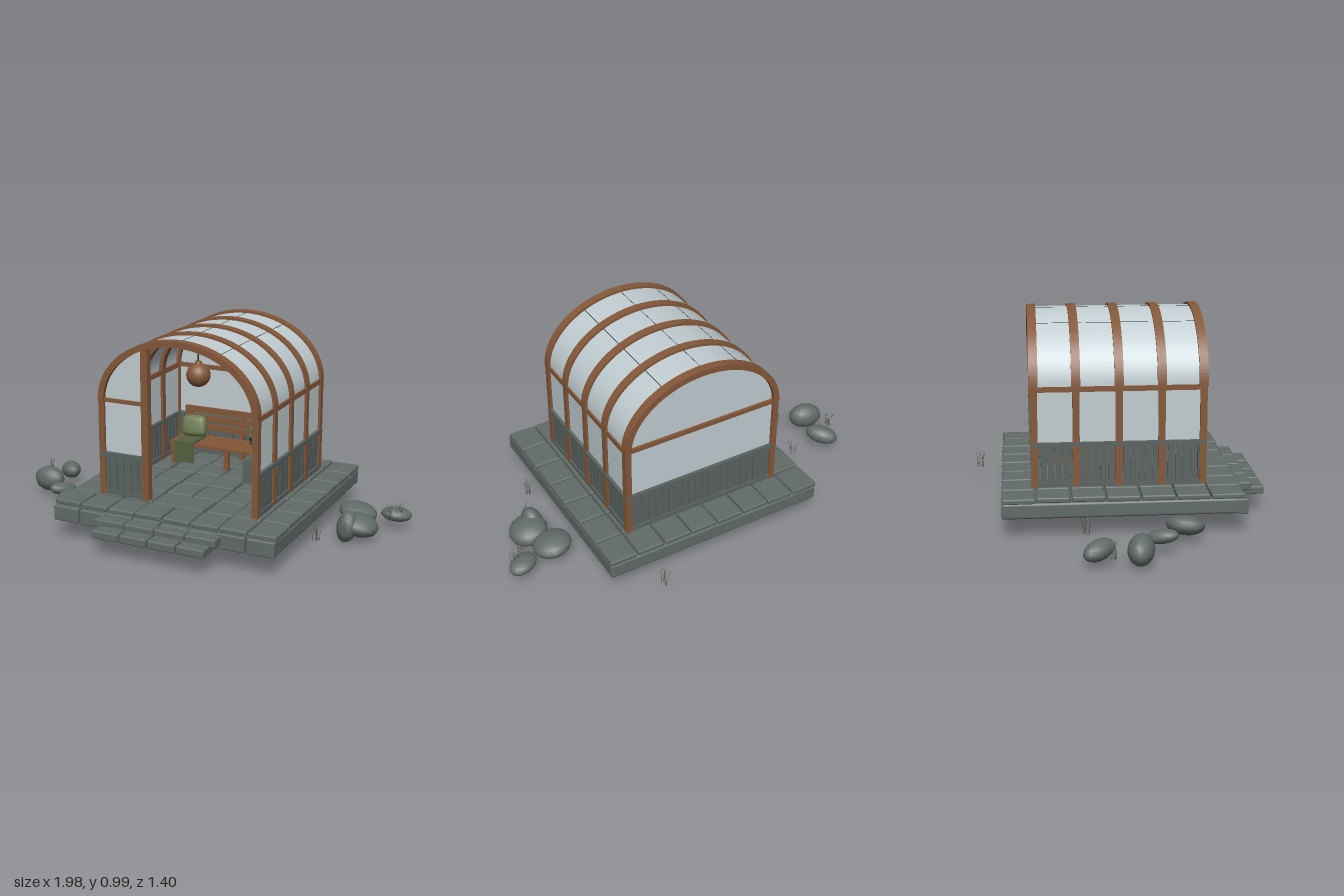
import * as THREE from 'three';
import { mergeGeometries } from 'three/addons/utils/BufferGeometryUtils.js';
import { RoundedBoxGeometry } from 'three/addons/geometries/RoundedBoxGeometry.js';

const mat = (name, color, side = THREE.FrontSide) => {
  const m = new THREE.MeshStandardMaterial({ color, side });
  m.name = name;
  return m;
};

export function createModel() {
  const model = new THREE.Group();
  model.name = 'gardenShelter';
  const stone = mat('stone', 0x626b68);
  const board = mat('painted board', 0x5b6461);
  const wood = mat('wood', 0x84583a);
  const glass = mat('pale glass', 0xc2ced2, THREE.DoubleSide);
  const cushionGreen = mat('cushion green', 0x6d7c52);
  const throwGreen = mat('throw green', 0x56613f);
  const leafGreen = mat('leaf green', 0x323d2e, THREE.DoubleSide);
  const grassGreen = mat('dry grass', 0x555a48, THREE.DoubleSide);
  const dark = mat('dark cord', 0x2b2b2a);

  let seed = 7;
  const rnd = () => (seed = (seed * 16807) % 2147483647) / 2147483647;
  const jit = (a) => (rnd() - 0.5) * 2 * a;

  const add = (name, geo, material, x = 0, y = 0, z = 0, parent = model) => {
    const m = new THREE.Mesh(geo, material);
    m.name = name;
    m.position.set(x, y, z);
    parent.add(m);
    return m;
  };
  const box = (name, material, w, h, d, x, y, z, parent) =>
    add(name, new THREE.BoxGeometry(w, h, d), material, x, y, z, parent);
  const block = (name, w, h, d, x, y, z) => {
    const m = add(name, new RoundedBoxGeometry(w, h, d, 1, 0.007), stone, x, y, z);
    m.rotation.y = jit(0.025);
    return m;
  };

  const CX = 0.047, BASE = 0.2, SPRING = 0.67, RX = 0.413, RY = 0.32, T = 0.03;
  const PX = RX - T / 2; // post offset from the centre line
  const END = 0.395;

  // Stone platform, paving, front edging and two steps
  add('platform', new RoundedBoxGeometry(1.14, 0.075, 1.1, 2, 0.012), stone, CX, 0.137, 0);
  const cols = 8, rows = 7, tw = 1.15 / cols, td = 1.125 / rows;
  for (let r = 0; r < rows; r++) {
    for (let c = 0; c < cols; c++) {
      const shift = r % 2 && c > 0 && c < cols - 1 ? jit(0.012) : 0;
      block('pavingStone', tw - 0.007, 0.025, td - 0.007,
        CX - 0.575 + tw * (c + 0.5) + shift, 0.186 + jit(0.003), -0.553 + td * (r + 0.5));
    }
  }
  for (let c = 0; c < cols; c++)
    block('edgeStone', tw - 0.009, 0.075, 0.05, CX - 0.575 + tw * (c + 0.5), 0.135 + jit(0.004), 0.562);
  for (let i = 0; i < 4; i++) {
    block('upperStep', 0.152, 0.04, 0.1, CX - 0.236 + i * 0.157, 0.145, 0.598);
    block('lowerStep', 0.138, 0.04, 0.1, CX - 0.22 + i * 0.146, 0.116, 0.664);
  }

  // Half-ellipse outline standing on the spring line
  const arcShape = (rx, ry) => {
    const s = new THREE.Shape();
    s.absellipse(0, 0, rx, ry, 0, Math.PI, false);
    return s;
  };
  const ribShape = arcShape(RX, RY);
  ribShape.lineTo(-RX + T, 0);
  ribShape.absellipse(0, 0, RX - T, RY - T, Math.PI, 0, true);
  ribShape.closePath();
  const ribGeo = new THREE.ExtrudeGeometry(ribShape, { depth: 0.042, bevelEnabled: false, curveSegments: 32 });
  ribGeo.translate(0, 0, -0.021);

  // Arched ribs and their posts
  for (const z of [-END, -0.2, 0, 0.2, END]) {
    add('archRib', ribGeo, wood, CX, SPRING, z);
    for (const s of [-1, 1])
      box('post', wood, T, SPRING - BASE, 0.033, CX + s * PX, (SPRING + BASE) / 2, z);
  }
  box('doorPost', wood, 0.036, 0.755, 0.036, -0.118, 0.577, END);

  // Long rails and cross rails
  for (const s of [-1, 1])
    box('sideRail', wood, 0.024, 0.024, END * 2, CX + s * PX, SPRING - 0.004, 0);
  box('backRail', wood, PX * 2, 0.022, 0.026, CX, SPRING, -END);
  box('frontRail', wood, 0.23, 0.018, 0.024, -0.235, SPRING, END);

  // Barrel roof of glass with thin seams
  const roof = new THREE.CylinderGeometry(1, 1, END * 2, 40, 1, true, -Math.PI / 2, Math.PI);
  roof.rotateX(-Math.PI / 2);
  if (roof.attributes.position.getY(0) < -0.5) roof.rotateZ(Math.PI);
  roof.computeBoundingBox();
  if (roof.boundingBox.max.y < 0.5) roof.rotateZ(Math.PI);
  roof.scale(RX - 0.011, RY - 0.011, 1);
  add('roofGlass', roof, glass, CX, SPRING, 0);
  for (const a of [1.05, Math.PI / 2, 2.09])
    box('roofSeam', dark, 0.002, 0.002, END * 2, CX + Math.cos(a) * 0.402, SPRING + Math.sin(a) * 0.309, 0);

  // Side, back and front glass
  const sideH = SPRING - 0.4;
  for (const s of [-1, 1])
    box('sideGlass', glass, 0.006, sideH, END * 2, CX + s * PX, 0.4 + sideH / 2, 0);
  box('backGlass', glass, PX * 2, sideH, 0.006, CX, 0.4 + sideH / 2, -END);
  add('backArchGlass', new THREE.ShapeGeometry(arcShape(RX - 0.01, RY - 0.01), 32), glass, CX, SPRING, -END);
  box('frontGlass', glass, 0.23, sideH, 0.006, -0.238, 0.4 + sideH / 2, END);
  const quarter = new THREE.Shape();
  const cut = -0.12 - CX;
  quarter.moveTo(cut, 0);
  for (let i = 0; i <= 16; i++) {
    const x = cut + (-RX + 0.01 - cut) * (i / 16);
    quarter.lineTo(x, (RY - 0.01) * Math.sqrt(Math.max(0, 1 - (x / (RX - 0.01)) ** 2)));
  }
  add('frontArchGlass', new THREE.ShapeGeometry(quarter), glass, CX, SPRING, END);

  // Low boarded walls: rails with upright slats
  const lowWall = (name, length, x, z, turn) => {
    const g = new THREE.Group();
    g.name = name;
    g.position.set(x, 0, z);
    g.rotation.y = turn;
    box('capRail', board, length, 0.02, 0.038, 0, 0.404, 0, g);
    box('footRail', board, length, 0.022, 0.028, 0, 0.211, 0, g);
    const n = Math.round(length / 0.036), step = length / n;
    for (let i = 0; i < n; i++) {
      const m = box('slat', board, step - 0.004, 0.19, 0.014, -length / 2 + step * (i + 0.5), 0.307, jit(0.002), g);
      m.rotation.z = jit(0.012);
    }
    model.add(g);
  };
  for (const s of [-1, 1]) lowWall('sideLowWall', 0.81, CX + s * PX, 0, Math.PI / 2);
  lowWall('backLowWall', PX * 2, CX, -END, 0);
  lowWall('frontLowWall', 0.23, -0.238, END, 0);

  // Bench
  for (let i = 0; i < 4; i++) box('seatSlat', wood, 0.64, 0.016, 0.038, 0.04, 0.312, -0.3 + i * 0.045);
  for (let i = 0; i < 3; i++) box('backSlat', wood, 0.64, 0.032, 0.014, 0.04, 0.362 + i * 0.043, -0.33 - i * 0.006);
  for (const x of [-0.26, 0.04, 0.34]) {
    box('frontLeg', wood, 0.024, 0.105, 0.024, x, 0.252, -0.165);
    box('backLeg', wood, 0.024, 0.26, 0.022, x, 0.33, -0.352);
    box('seatBearer', wood, 0.02, 0.018, 0.19, x, 0.296, -0.24);
  }

  // Cushions and draped throw
  const cushion = new THREE.SphereGeometry(1, 20, 14);
  const cp = cushion.attributes.position;
  for (let i = 0; i < cp.count; i++) {
    const sq = (v) => Math.sign(v) * Math.pow(Math.abs(v), 0.5);
    cp.setXYZ(i, sq(cp.getX(i)) * 0.068, sq(cp.getY(i)) * 0.056, cp.getZ(i) * 0.034);
  }
  cushion.computeVertexNormals();
  for (const [x, tilt, m] of [[-0.19, 0.06, cushionGreen], [0.19, -0.07, cushionGreen], [0.26, 0.1, throwGreen]]) {
    const c = add('cushion', cushion, m, x, 0.382, x > 0.2 ? -0.285 : -0.26);
    c.rotation.set(-0.25, 0, tilt);
  }
  box('throwTop', throwGreen, 0.11, 0.01, 0.16, -0.19, 0.325, -0.215);
  box('throwDrop', throwGreen, 0.11, 0.11, 0.01, -0.19, 0.275, -0.138);

  // Hanging lantern
  add('lantern', new THREE.SphereGeometry(0.058, 24, 16), wood, 0.044, 0.78, 0.17);
  add('lanternCap', new THREE.CylinderGeometry(0.014, 0.02, 0.018, 12), wood, 0.044, 0.838, 0.17);
  add('lanternCord', new THREE.CylinderGeometry(0.003, 0.003, 0.13, 6), dark, 0.044, 0.905, 0.17);

  // Wall planter with a leafy shrub
  box('planter', board, 0.125, 0.115, 0.2, 0.352, 0.343, 0.1);
  const leaves = [];
  for (let i = 0; i < 420; i++) {
    const leaf = new THREE.CircleGeometry(0.016, 4);
    leaf.scale(0.55, 1, 1);
    leaf.rotateX(jit(1.3)).rotateY(jit(3.1)).rotateZ(jit(0.9));
    const h = rnd(), a = rnd() * Math.PI * 2, r = Math.sqrt(rnd()) * (0.3 + 0.7 * Math.sin(Math.PI * (0.12 + 0.78 * h)));
    leaf.translate(0.36 + Math.cos(a) * r * 0.062, 0.405 + h * 0.22, 0.11 + Math.sin(a) * r * 0.095);
    leaves.push(leaf);
  }
  add('shrubLeaves', mergeGeometries(leaves), leafGreen);

  // Boulders: x, y, z, three radii, turn and tilt
  const rockGeo = new THREE.SphereGeometry(1, 14, 10);
  for (const [x, y, z, a, b, c, turn, tilt] of [
    [-0.875, 0.08, -0.13, 0.086, 0.045, 0.05, -0.85, 0.15], [-0.895, 0.083, 0.05, 0.09, 0.066, 0.06, -0.2, 0.1],
    [-0.742, 0.083, 0.158, 0.08, 0.033, 0.043, 1.15, -0.2], [-0.608, 0.083, 0.282, 0.072, 0.046, 0.09, -0.35, -0.3],
    [0.745, 0.085, -0.18, 0.095, 0.045, 0.09, 0, -0.15], [0.8, 0.08, -0.03, 0.096, 0.053, 0.095, 0.3, -0.2],
    [0.757, 0.08, 0.02, 0.05, 0.078, 0.062, 0.2, -0.15], [0.923, 0.083, -0.235, 0.076, 0.034, 0.055, 0.4, -0.1]]) {
    const rock = add('boulder', rockGeo, stone, x, y, z);
    rock.scale.set(a, b, c);
    rock.rotation.set(0, turn, tilt);
  }

  // Grass tufts made of thin leaning blades
  for (const [x, z] of [[-0.955, -0.07], [-0.65, -0.17], [0.41, -0.67], [0.9, -0.17], [0.68, 0.23], [0.76, 0.07], [0.95, -0.2]]) {
    const blades = [];
    for (let i = 0; i < 9; i++) {
      const blade = new THREE.PlaneGeometry(0.004, 0.085, 1, 3);
      const p = blade.attributes.position, lean = 0.01 + rnd() * 0.03;
      for (let k = 0; k < p.count; k++) {
        const t = p.getY(k) / 0.085 + 0.5;
        p.setXYZ(k, p.getX(k) * (1 - 0.8 * t), t * 0.085, lean * t * t);
      }
      blade.computeVertexNormals();
      blade.rotateY(rnd() * Math.PI * 2).translate(jit(0.015), 0, jit(0.015));
      blades.push(blade);
    }
    add('grassTuft', mergeGeometries(blades), grassGreen, x, 0.07, z);
  }
  return model;
}
